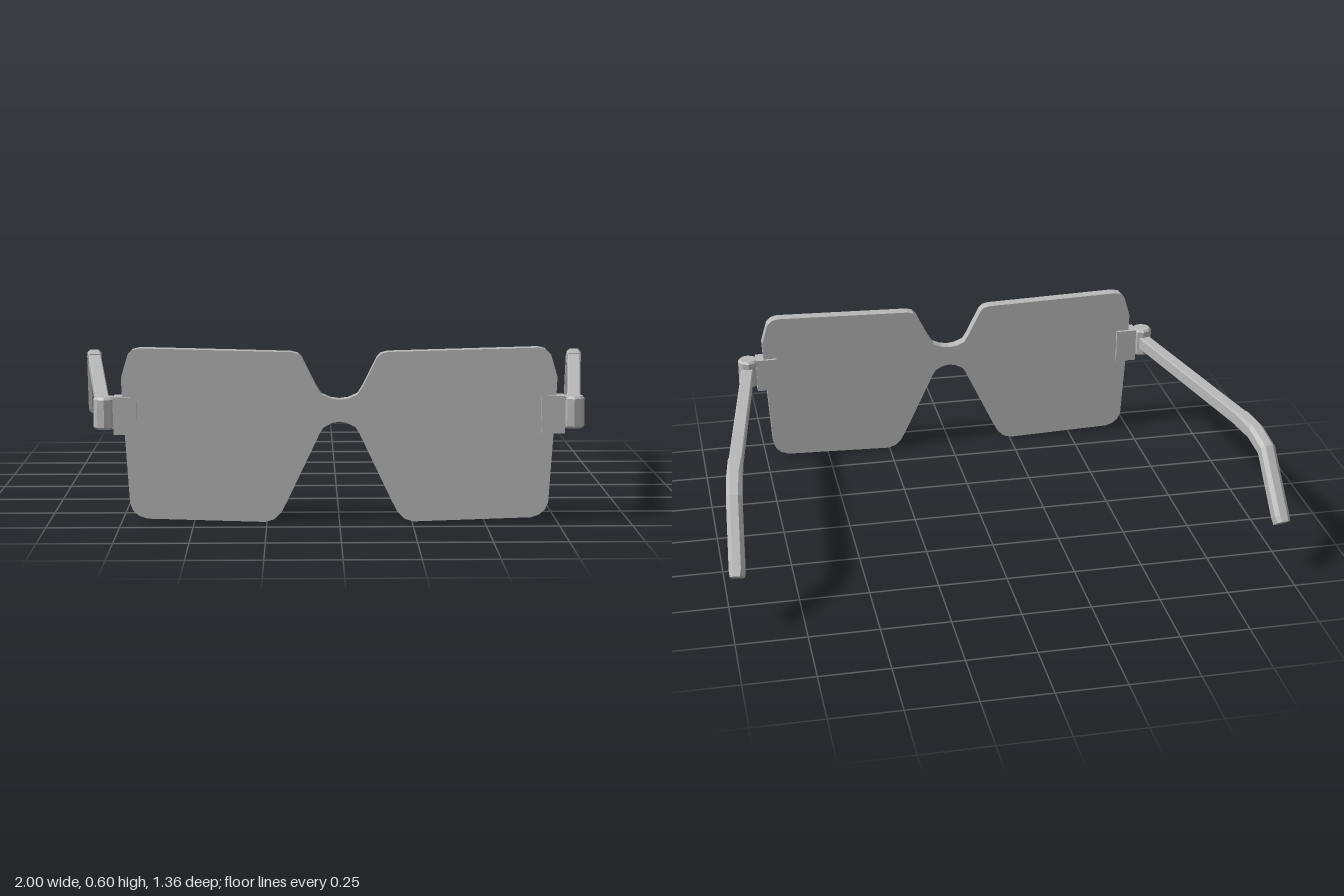
import * as THREE from 'three';

const grey = new THREE.MeshStandardMaterial({ color: 0xb8b8b8, flatShading: true });
grey.name = 'grey';

function add(parent, name, geometry, x = 0, y = 0, z = 0) {
  const mesh = new THREE.Mesh(geometry, grey);
  mesh.name = name;
  mesh.position.set(x, y, z);
  parent.add(mesh);
  return mesh;
}

// Sweeps a chamfered rectangle along a path of [x, y, z, width, height, chamfer]
function sweep(path) {
  const pts = path.map(p => new THREE.Vector3(p[0], p[1], p[2]));
  const rings = path.map(([, , , w, h, c], i) => {
    const t = new THREE.Vector3();
    if (i > 0) t.add(pts[i].clone().sub(pts[i - 1]).normalize());
    if (i < pts.length - 1) t.add(pts[i + 1].clone().sub(pts[i]).normalize());
    t.normalize();
    const side = new THREE.Vector3(0, 1, 0).cross(t).normalize();
    const up = t.clone().cross(side);
    const a = w / 2, b = h / 2;
    return [[a, c - b], [a, b - c], [a - c, b], [c - a, b], [-a, b - c], [-a, c - b], [c - a, -b], [a - c, -b]]
      .map(([u, v]) => pts[i].clone().addScaledVector(side, u).addScaledVector(up, v));
  });
  const tris = [];
  for (let i = 0; i < rings.length - 1; i++) {
    for (let j = 0; j < 8; j++) {
      const k = (j + 1) % 8, r = rings[i], q = rings[i + 1];
      tris.push(r[j], r[k], q[k], r[j], q[k], q[j]);
    }
  }
  const first = rings[0], last = rings[rings.length - 1];
  for (let j = 1; j < 7; j++) {
    tris.push(first[0], first[j + 1], first[j], last[0], last[j], last[j + 1]);
  }
  const g = new THREE.BufferGeometry().setFromPoints(tris);
  g.computeVertexNormals();
  return g;
}

// One-piece lens shield: half outline mirrored about x = 0
function shieldGeometry() {
  const half = [
    [0, 0.428], [0.03, 0.432], [0.062, 0.446], [0.08, 0.475], [0.128, 0.572], [0.142, 0.586], [0.165, 0.592],
    [0.68, 0.606], [0.705, 0.6], [0.722, 0.583], [0.745, 0.505], [0.742, 0.43],
    [0.72, 0.07], [0.71, 0.045], [0.69, 0.026], [0.66, 0.016],
    [0.255, 0.003], [0.225, 0.012], [0.2, 0.037], [0.18, 0.075], [0.066, 0.315], [0.055, 0.332], [0.025, 0.348], [0, 0.352],
  ];
  const mirrored = half.slice(1, -1).reverse().map(([x, y]) => [-x, y]);
  const outline = [...half, ...mirrored].map(([x, y]) => new THREE.Vector2(x, y));
  const g = new THREE.ExtrudeGeometry(new THREE.Shape(outline), { depth: 0.044, bevelEnabled: false });
  return g.translate(0, 0, 0.621);
}

export function createModel() {
  const model = new THREE.Group();
  model.name = 'sunglasses';
  add(model, 'lensShield', shieldGeometry());

  for (const s of [1, -1]) {
    const sideGroup = new THREE.Group();
    sideGroup.name = s > 0 ? 'leftSide' : 'rightSide';
    model.add(sideGroup);

    // Clip gripping the lens edge, and the neck joining it to the hinge
    add(sideGroup, 'hingeClip', new THREE.BoxGeometry(0.08, 0.13, 0.066), s * 0.732, 0.375, 0.643);
    add(sideGroup, 'hingeNeck', new THREE.BoxGeometry(0.06, 0.105, 0.05), s * 0.785, 0.383, 0.643);

    // Upright hinge barrel with chamfered ends
    const barrel = [[0, 0.327], [0.033, 0.327], [0.04, 0.335], [0.04, 0.43], [0.033, 0.438], [0, 0.438]];
    add(sideGroup, 'hingeBarrel',
      new THREE.LatheGeometry(barrel.map(([r, y]) => new THREE.Vector2(r, y)), 10), s * 0.803, 0, 0.643);

    // Straight temple arm
    add(sideGroup, 'templeArm', sweep([
      [s * 0.806, 0.38, 0.64, 0.046, 0.05, 0.004],
      [s * 0.932, 0.445, -0.28, 0.048, 0.05, 0.004],
    ]));

    // Curved ear piece with a blunt tip
    add(sideGroup, 'earPiece', sweep([
      [s * 0.931, 0.445, -0.27, 0.052, 0.056, 0.006],
      [s * 0.945, 0.446, -0.385, 0.055, 0.062, 0.012],
      [s * 0.956, 0.42, -0.485, 0.056, 0.064, 0.014],
      [s * 0.97, 0.225, -0.635, 0.056, 0.064, 0.014],
      [s * 0.972, 0.206, -0.649, 0.05, 0.066, 0.014],
    ]));
  }
  return model;
}
